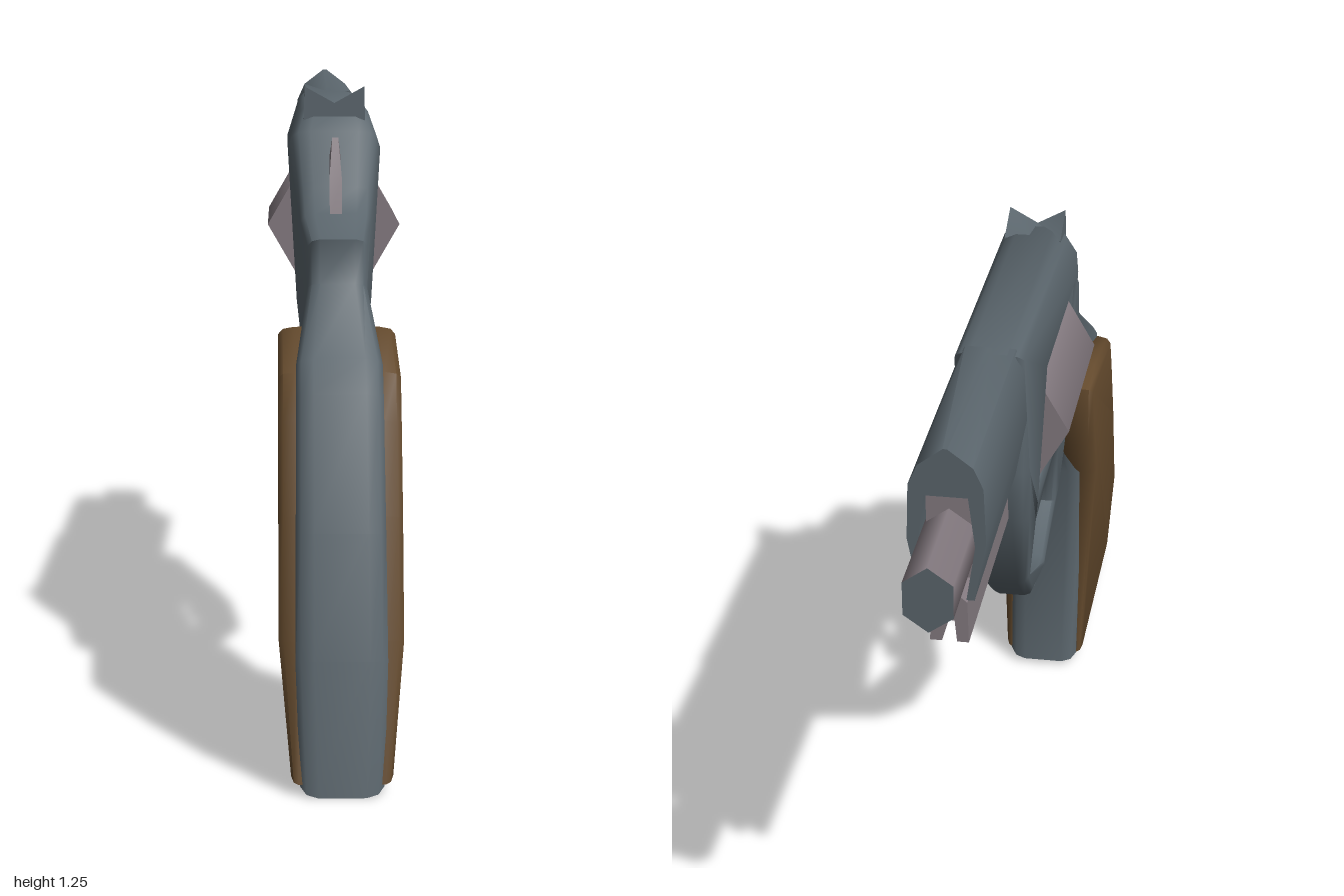
import * as THREE from 'three';
import { toCreasedNormals } from 'three/addons/utils/BufferGeometryUtils.js';

const mat = (name, color) => {
  const m = new THREE.MeshStandardMaterial({ color });
  m.name = name;
  return m;
};

// Piecewise linear lookup in [[key, value], ...]
function lookup(table, k) {
  if (k <= table[0][0]) return table[0][1];
  for (let i = 1; i < table.length; i++) {
    const [a, va] = table[i - 1], [b, vb] = table[i];
    if (k <= b) return va + (vb - va) * (k - a) / (b - a);
  }
  return table[table.length - 1][1];
}

const toPoints = (list) => list.map(([a, b]) => new THREE.Vector2(a, b));

// Side profile in (z, y) about x = centre, with a half-width that varies by position
function sidePart(outline, halfWidth, { holes = [], bevel = 0, round = 0.4, centre = 0 } = {}) {
  const shape = new THREE.Shape(toPoints(outline));
  holes.forEach((h) => shape.holes.push(new THREE.Path(toPoints(h))));
  const geo = new THREE.ExtrudeGeometry(shape, bevel
    ? { depth: 2 - 2 * round, bevelEnabled: true, bevelSize: bevel, bevelOffset: -bevel, bevelThickness: round, bevelSegments: 2 }
    : { depth: 2, bevelEnabled: false });
  geo.translate(0, 0, bevel ? round - 1 : -1);
  geo.rotateY(-Math.PI / 2);
  const p = geo.attributes.position;
  for (let i = 0; i < p.count; i++) p.setX(i, centre + p.getX(i) * halfWidth(p.getZ(i), p.getY(i)));
  return toCreasedNormals(geo, 1.0);
}

// Cross-section in (x, y), run along z, with heights adjusted by a rule
function lengthPart(section, z0, z1, height = (y) => y) {
  const geo = new THREE.ExtrudeGeometry(new THREE.Shape(toPoints(section)), { depth: z1 - z0, bevelEnabled: false });
  geo.translate(0, 0, z0);
  const p = geo.attributes.position;
  for (let i = 0; i < p.count; i++) p.setY(i, height(p.getY(i), p.getZ(i)));
  return toCreasedNormals(geo, 0.75);
}

// Mirror the right half of a section to close it
const mirrored = (half) => [...half, ...half.slice().reverse().map(([x, y]) => [-x, y])];

// Six-sided bar along z; its first end points to -z
function hexBar(radius, z0, z1, y, turn) {
  const geo = new THREE.CylinderGeometry(radius, radius, z1 - z0, 6, 1, false, turn);
  return geo.rotateX(-Math.PI / 2).translate(0, y, (z0 + z1) / 2);
}

export function createModel() {
  const group = new THREE.Group();
  const gunmetal = mat('gunmetal', 0x5b666d);
  const steel = mat('steel', 0x857b81);
  const wood = mat('wood', 0x644a2d);
  const add = (name, geo, material) => {
    const mesh = new THREE.Mesh(geo, material);
    mesh.name = name;
    group.add(mesh);
    return mesh;
  };

  // Frame with trigger guard, cylinder window and grip core
  const widths = [[0.5, 0.045], [0.68, 0.055], [0.83, 0.08], [0.96, 0.105], [1.1, 0.1], [1.21, 0.062]];
  const frameWidth = (z, y) => {
    if (z > 0.41 && y < 0.8) return lookup([[0, 0.072], [0.05, 0.085], [0.8, 0.08]], y);
    const limit = lookup([[-0.34, 0.072], [-0.18, 0.11], [0.26, 0.11], [0.36, 0.075], [0.6, 0.055]], z);
    return Math.min(lookup(widths, y), limit);
  };
  const frameOutline = [
    [0.28, 1.21], [0.32, 1.155], [0.4, 1.05], [0.44, 1.0], [0.595, 0.965], [0.595, 0.88],
    [0.76, 0.76], [0.8, 0.7], [0.89, 0.46], [0.957, 0.24], [1.0, 0], [0.42, 0.01],
    [0.475, 0.51], [0.4, 0.63], [0.34, 0.54], [0.115, 0.447], [-0.07, 0.495], [-0.18, 0.59],
    [-0.34, 0.83], [-0.34, 0.94], [-0.36, 1.21],
  ];
  const guardHole = [
    [0.14, 0.735], [-0.02, 0.757], [-0.13, 0.72], [-0.12, 0.6],
    [-0.035, 0.52], [0.11, 0.495], [0.24, 0.56], [0.22, 0.68],
  ];
  const cylinderWindow = [[0.245, 1.1], [-0.19, 1.1], [-0.19, 0.825], [0.245, 0.825]];
  add('frame', sidePart(frameOutline, frameWidth, { holes: [guardHole, cylinderWindow], bevel: 0.018 }), gunmetal);

  // Wooden panels on both sides of the grip core
  const gripOutline = [
    [0.755, 0.735], [0.505, 0.785], [0.395, 0.77], [0.39, 0.63], [0.485, 0.505],
    [0.445, 0.025], [0.985, 0.02], [0.925, 0.27], [0.86, 0.485], [0.795, 0.65],
  ];
  const panelWidth = (z, y) => lookup([[0.02, 0.016], [0.27, 0.039], [0.79, 0.039]], y);
  for (const side of [1, -1]) {
    add(side > 0 ? 'leftGripPanel' : 'rightGripPanel',
      sidePart(gripOutline, panelWidth, { bevel: 0.014, round: 0.8, centre: side * 0.075 }), wood);
  }

  // Barrel shroud, open below and at the muzzle, its roof rising to the front sight
  add('barrelShroud', lengthPart(mirrored([
    [0.004, 1.245], [0.05, 1.21], [0.068, 1.17], [0.072, 1.06], [0.05, 0.94],
    [0.035, 0.94], [0.052, 1.05], [0.04, 1.15],
  ]), -0.82, -0.33, (y, z) => (z > -0.5 ? Math.min(y, 1.21) : y)), gunmetal);

  // Lining between barrel and shroud
  add('barrelLining', new THREE.BoxGeometry(0.084, 0.18, 0.46).translate(0, 1.06, -0.56), steel);

  // Barrel with a dark muzzle face
  const barrel = add('barrel', hexBar(0.065, -1, -0.32, 1.045, 0), [steel, gunmetal, steel]);
  barrel.geometry.scale(0.8, 1, 1);

  // Ejector rod channel under the barrel
  add('ejectorRod', lengthPart(mirrored([
    [0.02, 0.937], [0.034, 0.925], [0.036, 0.84], [0.014, 0.84], [0.01, 0.885],
  ]), -0.805, -0.33), steel);

  // Six-sided cylinder
  add('cylinder', hexBar(0.135, -0.18, 0.235, 0.96, Math.PI / 2), steel);

  // Notched rear sight, sloping down towards the front
  add('rearSight', lengthPart([[-0.062, 1.16], [0.062, 1.16], [0.06, 1.243], [0, 1.21], [-0.06, 1.243]],
    0.22, 0.3, (y, z) => (z < 0.25 ? Math.min(y, 1.205) : y)), gunmetal);

  // Hammer spur
  add('hammer', sidePart([[0.445, 0.99], [0.42, 1.07], [0.38, 1.145], [0.35, 1.1], [0.3, 1.1], [0.3, 0.99]],
    (z, y) => (y > 1.12 ? 0.006 : 0.012)), steel);

  // Curved trigger
  const path = new THREE.CatmullRomCurve3([[0.155, 0.76], [0.155, 0.69], [0.135, 0.62], [0.085, 0.565]]
    .map(([z, y]) => new THREE.Vector3(0, y, z)));
  add('trigger', new THREE.TubeGeometry(path, 8, 0.012, 6).scale(1.8, 1, 1), gunmetal);

  return group;
}
